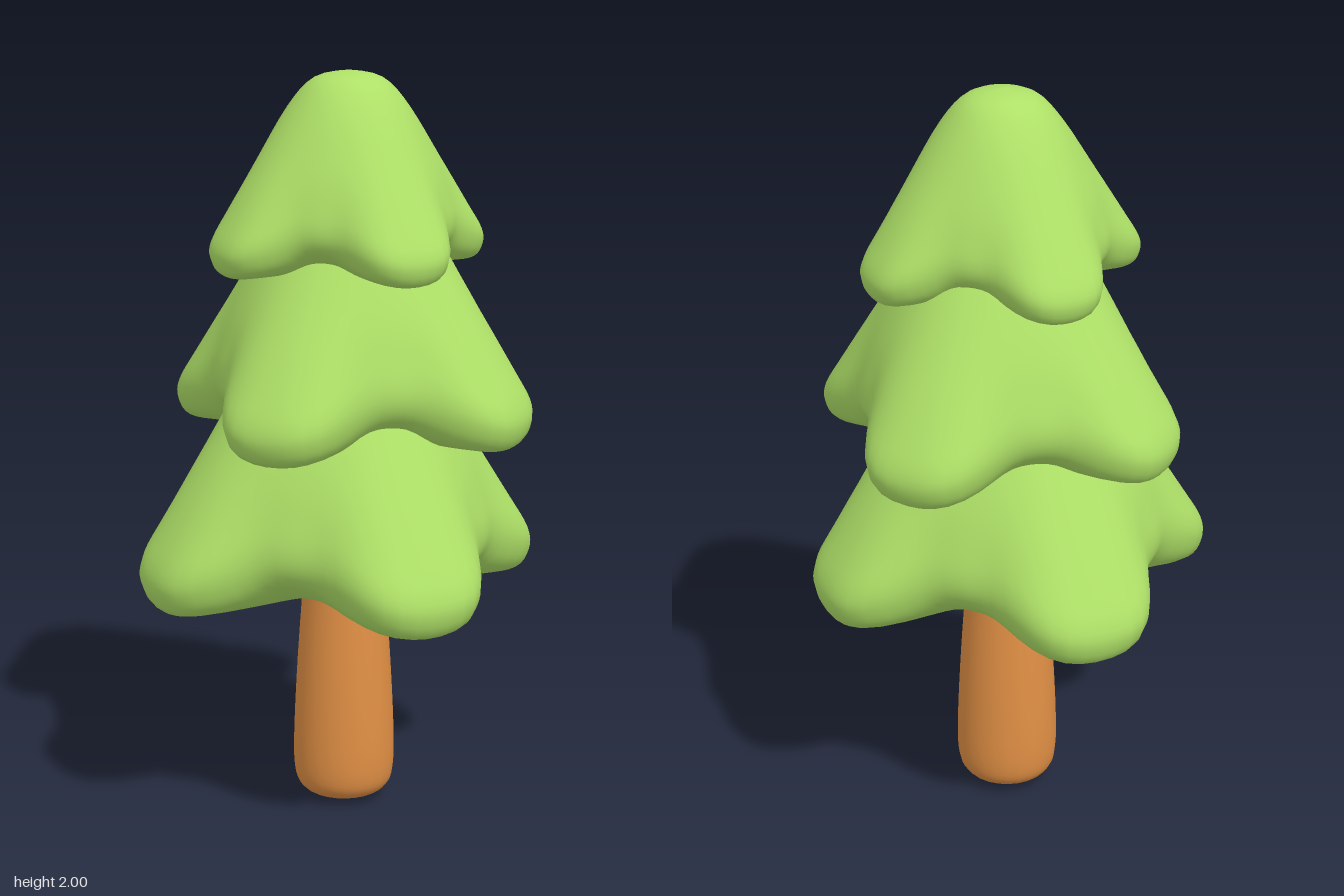
import * as THREE from 'three';

const leafGreen = new THREE.MeshStandardMaterial({ color: 0xaee067 });
leafGreen.name = 'leafGreen';
const barkBrown = new THREE.MeshStandardMaterial({ color: 0xe08f44 });
barkBrown.name = 'barkBrown';

const { lerp, smoothstep, degToRad } = THREE.MathUtils;
const spline = (pts) => new THREE.SplineCurve(pts.map(([x, y]) => new THREE.Vector2(x, y)));

// Unit tier profiles (radius, height) from the summit to the middle of the underside
const lobeProfile = spline([[0, 0.52], [0.09, 0.5], [0.16, 0.425], [0.253, 0.285], [0.336, 0.155],
  [0.376, 0.085], [0.38, 0.04], [0.355, 0.004], [0.28, 0], [0.14, 0.005], [0, 0.008]]);
const valleyProfile = spline([[0, 0.52], [0.09, 0.5], [0.16, 0.425], [0.235, 0.285], [0.271, 0.19],
  [0.284, 0.135], [0.276, 0.095], [0.25, 0.066], [0.2, 0.038], [0.11, 0.014], [0, 0.008]]);

// Four-lobed bough tier: smooth round cone above, blending into drooping lobes below
function boughTier(angle, scale) {
  const rows = 40, cols = 80, pos = [], index = [];
  for (let i = 0; i <= rows; i++) {
    const a = lobeProfile.getPoint(i / rows), b = valleyProfile.getPoint(i / rows);
    const low = smoothstep(i / rows, 0.2, 0.5), under = smoothstep(i / rows, 0.4, 0.65);
    for (let j = 0; j < cols; j++) {
      const t = (j / cols) * Math.PI * 2;
      const c = (1 + Math.cos(4 * (t - angle))) / 2;
      const w = lerp(c, smoothstep(c, 0.02, 0.97), low);
      const r = lerp(b.x, a.x, w) * scale;
      // The underside rounds off toward the lobe flanks
      const y = lerp(b.y, a.y, lerp(w, c, under)) * scale;
      pos.push(r * Math.cos(t), y, r * Math.sin(t));
      if (i < rows) {
        const k = (j + 1) % cols, p = i * cols, q = p + cols;
        index.push(p + j, p + k, q + j, p + k, q + k, q + j);
      }
    }
  }
  const geo = new THREE.BufferGeometry();
  geo.setAttribute('position', new THREE.Float32BufferAttribute(pos, 3));
  geo.setIndex(index);
  geo.computeVertexNormals();
  return geo;
}

export function createModel() {
  const tree = new THREE.Group();
  tree.name = 'pineTree';

  // Tapered trunk with a rounded foot
  const trunkPoints = spline([[0, 0], [0.075, 0.012], [0.118, 0.035], [0.136, 0.085],
    [0.137, 0.2], [0.127, 0.4], [0.113, 0.6], [0.107, 0.72]]).getPoints(28);
  const trunk = new THREE.Mesh(new THREE.LatheGeometry(trunkPoints, 24), barkBrown);
  trunk.name = 'trunk';
  trunk.position.z = -0.02;
  tree.add(trunk);

  // Stacked boughs, alternately turned
  const tiers = [
    { name: 'lowerBoughs', at: [0, 0.6, 0], angle: 21.5, scale: 1.455 },
    { name: 'middleBoughs', at: [0.005, 1.03, -0.045], angle: 75.5, scale: 1.31 },
    { name: 'topBoughs', at: [0.015, 1.48, -0.02], angle: 20, scale: 1 },
  ];
  for (const t of tiers) {
    const mesh = new THREE.Mesh(boughTier(degToRad(t.angle), t.scale), leafGreen);
    mesh.name = t.name;
    mesh.position.set(...t.at);
    tree.add(mesh);
  }
  return tree;
}
